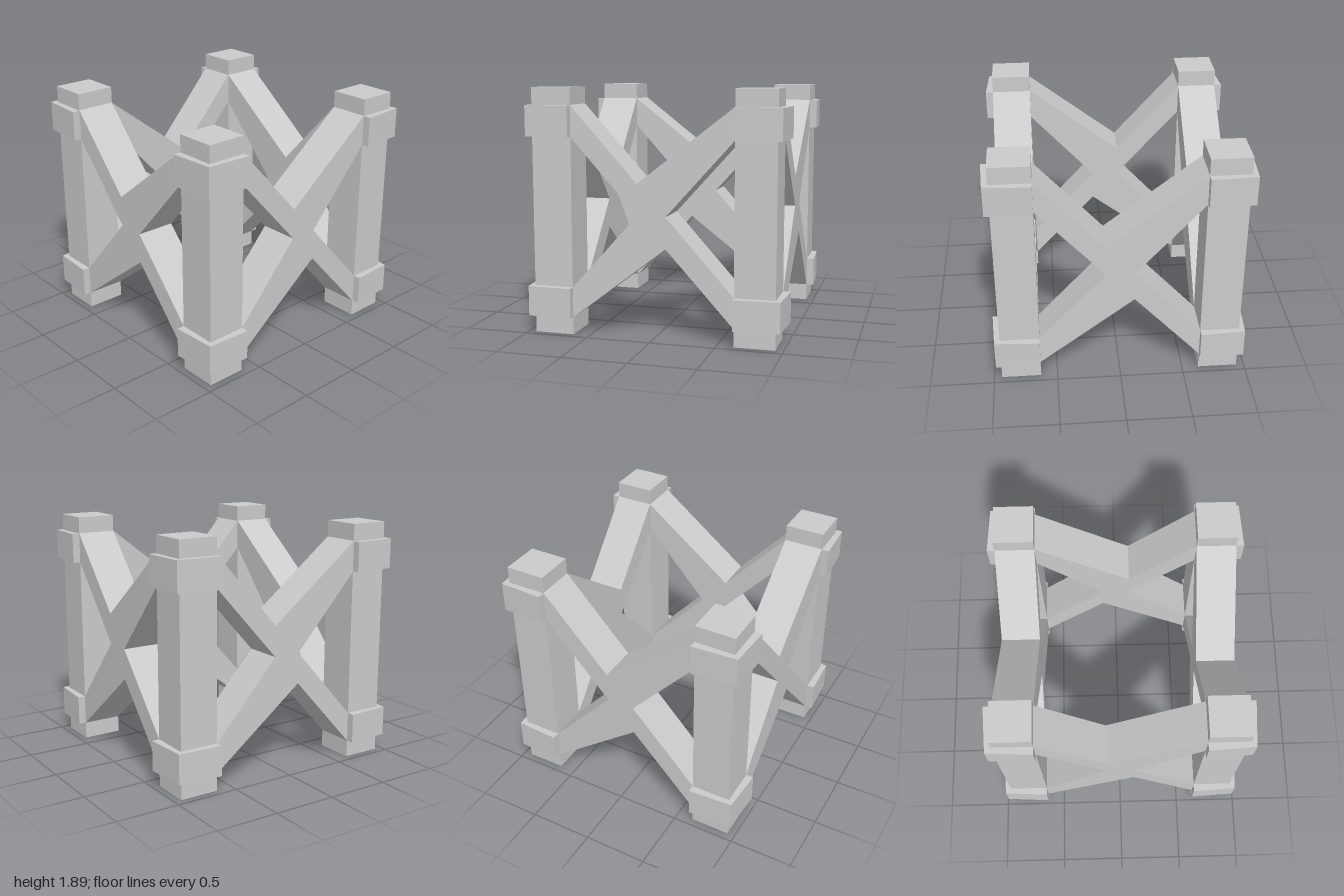
import * as THREE from 'three';

const IN = 0.63, OUT = 0.94, HEIGHT = 1.89;

function extrude(points, depth) {
  const shape = new THREE.Shape(points.map(([x, y]) => new THREE.Vector2(x, y)));
  return new THREE.ExtrudeGeometry(shape, { depth, bevelEnabled: false });
}

export function createModel() {
  const model = new THREE.Group();
  model.name = 'crossBracedFrame';
  const material = new THREE.MeshStandardMaterial({ color: 0xcccccc, flatShading: true });

  // Square corner post
  const postGeometry = new THREE.BoxGeometry(OUT - IN, HEIGHT, OUT - IN);
  postGeometry.translate((IN + OUT) / 2, HEIGHT / 2, (IN + OUT) / 2);

  // Slightly tapered bracket wrapping the two outer faces of a post
  const bracketGeometry = extrude(
    [[OUT, IN], [1, IN], [0.98, 0.98], [IN, 1], [IN, OUT], [OUT, OUT]], 0.235);
  bracketGeometry.rotateX(Math.PI / 2);

  // Lopsided X brace: one diagonal is straight, the other flares at the ends
  const braceGeometry = extrude([
    [-IN, 0.135], [0.11, 0.705], [IN, 0.135], [IN, 0.37], [0.11, 0.945],
    [IN, 1.52], [IN, 1.76], [-0.11, 1.185], [-IN, 1.76], [-IN, 1.52],
    [-0.11, 0.945], [-IN, 0.37],
  ], OUT - IN);
  braceGeometry.translate(0, 0, IN);

  // One side with its post, repeated around the vertical axis
  for (let i = 0; i < 4; i++) {
    const side = new THREE.Group();
    side.name = 'side' + (i + 1);
    side.rotation.y = i * Math.PI / 2;
    const add = (name, geometry, y = 0) => {
      const mesh = new THREE.Mesh(geometry, material);
      mesh.name = name;
      mesh.position.y = y;
      side.add(mesh);
    };
    add('cornerPost', postGeometry);
    add('lowerBracket', bracketGeometry, 0.37);
    add('upperBracket', bracketGeometry, 1.757);
    add('crossBrace', braceGeometry);
    model.add(side);
  }
  return model;
}
